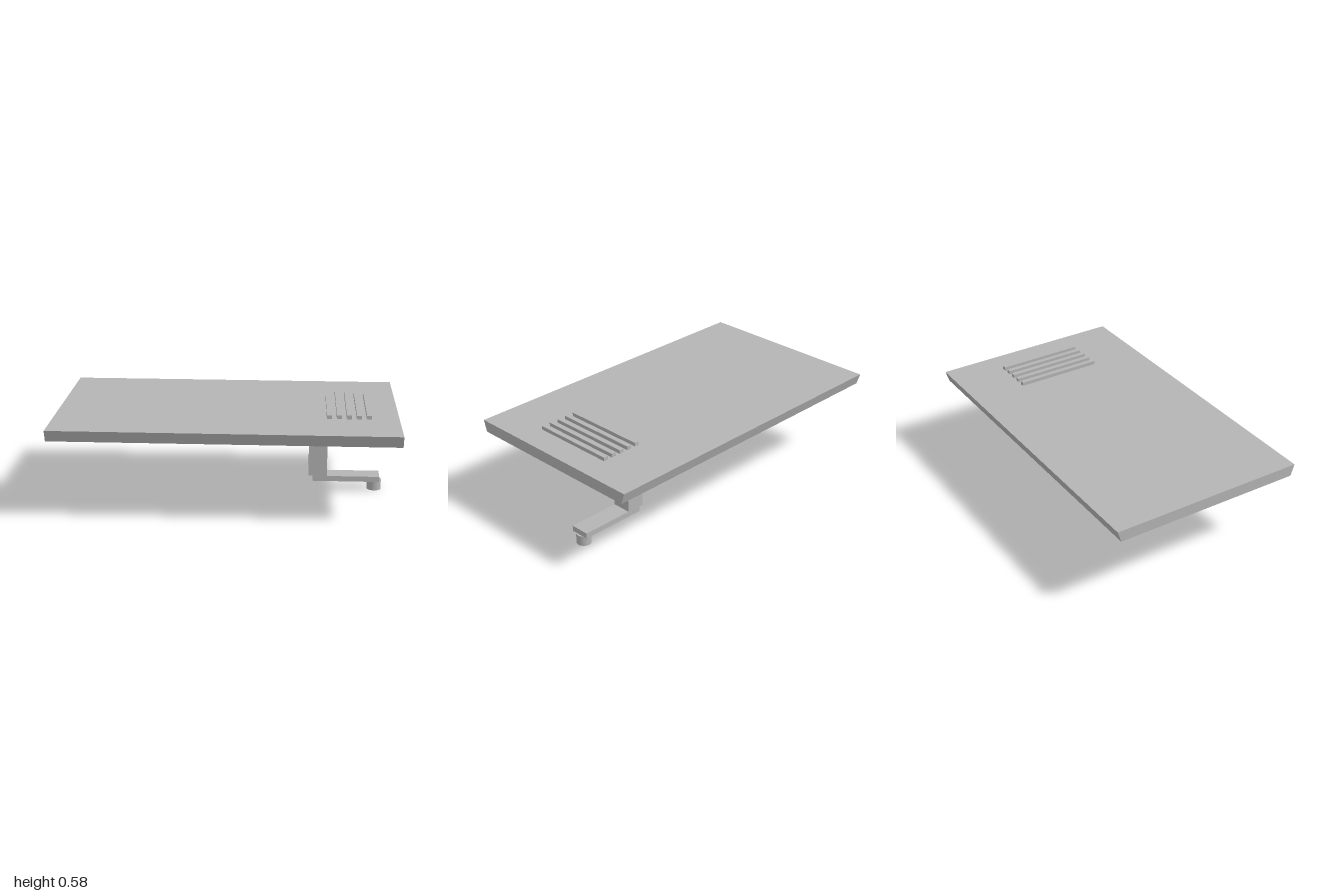
import * as THREE from 'three';

export function createModel() {
  const group = new THREE.Group();
  const grey = new THREE.MeshStandardMaterial({ color: 0xb4b4b4 });
  grey.name = 'light grey';

  function add(name, geometry, x = 0, y = 0, z = 0) {
    const mesh = new THREE.Mesh(geometry, grey);
    mesh.name = name;
    mesh.position.set(x, y, z);
    group.add(mesh);
  }

  // Box given by its lower and upper limits on each axis
  function addBox(name, [x0, x1], [y0, y1], [z0, z1]) {
    add(name, new THREE.BoxGeometry(x1 - x0, y1 - y0, z1 - z0),
      (x0 + x1) / 2, (y0 + y1) / 2, (z0 + z1) / 2);
  }

  // Wide slab whose long edges slope inward towards the underside
  const profile = new THREE.Shape([
    new THREE.Vector2(-0.565, 0.488), new THREE.Vector2(0.565, 0.488),
    new THREE.Vector2(0.587, 0.556), new THREE.Vector2(-0.587, 0.556),
  ]);
  const slab = new THREE.ExtrudeGeometry(profile, { depth: 2, bevelEnabled: false });
  slab.translate(0, 0, -1).rotateY(Math.PI / 2);
  add('slab', slab);

  // Row of raised ribs on the top
  for (let i = 0; i < 5; i++) {
    const x = 0.596 + i * 0.0575;
    addBox('rib', [x - 0.014, x + 0.014], [0.556, 0.578], [-0.26, 0.26]);
  }

  // Bracket under the slab: post, arm and round foot
  const depth = [-0.182, -0.065];
  addBox('post', [0.487, 0.599], [0.094, 0.488], depth);
  addBox('arm', [0.512, 0.92], [0.061, 0.094], depth);
  add('foot', new THREE.CylinderGeometry(0.043, 0.043, 0.061, 32), 0.891, 0.0305, -0.1235);

  return group;
}
